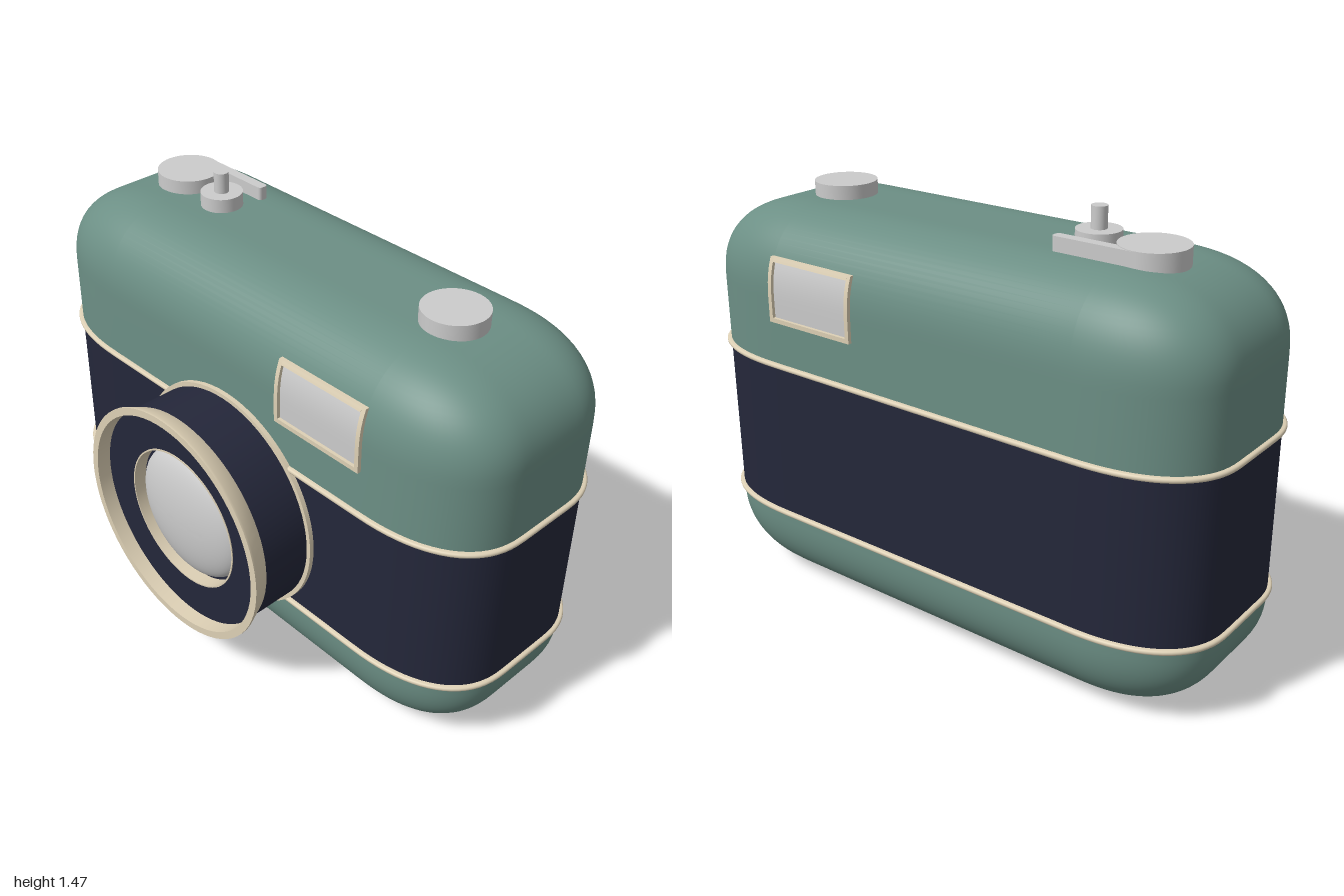
import * as THREE from 'three';
import { toCreasedNormals } from 'three/addons/utils/BufferGeometryUtils.js';

const paint = (color) => new THREE.MeshStandardMaterial({ color });
const GREEN = paint(0x6c8f85), NAVY = paint(0x24273a), CREAM = paint(0xddd0b5), GREY = paint(0xcccccc);

// Body: a box core with superelliptic edges
const N = 2.4;
const CORE = { x: 0.585, y: 0.3985, z: 0.1 };
const R = { x: 0.4, y: 0.28, z: 0.27 };
const CY = 0.6785, CZ = -0.12;
const BAND_LOW = 0.29, BAND_HIGH = 0.845;
const pow = (v) => Math.pow(Math.max(0, v), 2 / N);

// How far the sides reach out at height y (1 = full, 0 = none)
function reach(y) {
  const v = Math.max(0, (Math.abs(y - CY) - CORE.y) / R.y);
  return Math.pow(Math.max(0, 1 - Math.pow(v, N)), 1 / N);
}

// Plan outline of the body, scaled at the corners by k and widened by off
function outline(k, off) {
  const pts = [], steps = 20;
  for (let q = 0; q < 4; q++) {
    const sx = q === 0 || q === 3 ? 1 : -1, sz = q < 2 ? 1 : -1;
    for (let i = 0; i <= steps; i++) {
      const t = (q % 2 ? steps - i : i) / steps * Math.PI / 2;
      pts.push([
        sx * (CORE.x + (R.x * k + off) * pow(Math.cos(t))),
        CZ + sz * (CORE.z + (R.z * k + off) * pow(Math.sin(t))),
      ]);
    }
  }
  return pts;
}

// Skin over outlines stacked upward; cap is 'top', 'bottom' or nothing
function loft(rings, cap) {
  const pos = [], idx = [];
  let n = 0;
  for (const { y, k = 1, off = 0 } of rings) {
    const pts = outline(k, off);
    n = pts.length;
    pts.forEach(([x, z]) => pos.push(x, y, z));
  }
  for (let j = 0; j < rings.length - 1; j++) {
    for (let i = 0; i < n; i++) {
      const a = j * n + i, b = j * n + (i + 1) % n;
      idx.push(a, a + n, b, b, a + n, b + n);
    }
  }
  if (cap) {
    const last = cap === 'top' ? rings.length - 1 : 0;
    const c = pos.length / 3;
    pos.push(0, rings[last].y, CZ);
    for (let i = 0; i < n; i++) {
      const a = last * n + i, b = last * n + (i + 1) % n;
      idx.push(c, ...(cap === 'top' ? [b, a] : [a, b]));
    }
  }
  const g = new THREE.BufferGeometry();
  g.setAttribute('position', new THREE.Float32BufferAttribute(pos, 3));
  g.setIndex(idx);
  g.computeVertexNormals();
  return g;
}

// Rounded end rings, from the straight wall to the flat top (side 1) or bottom (side -1)
function endRings(side) {
  const rings = [];
  for (let i = 0; i <= 20; i++) {
    const t = Math.min(i / 20, 0.9995) * Math.PI / 2;
    rings.push({ y: CY + side * (CORE.y + R.y * pow(Math.sin(t))), k: pow(Math.cos(t)) });
  }
  return rings;
}

export function createModel() {
  const model = new THREE.Group();
  const add = (name, geometry, material, parent = model) => {
    const mesh = new THREE.Mesh(geometry, material);
    mesh.name = name;
    parent.add(mesh);
    return mesh;
  };

  // Body shells and the dark wrap between them
  add('upperBody', loft([{ y: BAND_HIGH }, ...endRings(1)], 'top'), GREEN);
  const low = endRings(-1).reverse().filter((r) => r.y < BAND_LOW - 0.001);
  add('lowerBody', loft([...low, { y: BAND_LOW, k: reach(BAND_LOW) }], 'bottom'), GREEN);
  add('wrap', loft([{ y: BAND_LOW }, { y: BAND_HIGH }]), NAVY);

  // Trim bands running round the body
  for (const [name, y] of [['lowerTrim', BAND_LOW], ['upperTrim', BAND_HIGH]]) {
    const rings = [];
    for (let i = 0; i <= 8; i++) {
      const t = (i / 8 - 0.5) * Math.PI;
      rings.push({ y: y + 0.009 * Math.sin(t), off: -0.002 + 0.016 * Math.sqrt(Math.cos(t) + 1e-9) });
    }
    add(name, loft(rings), CREAM);
  }

  // Lens, turned about the z axis
  const lens = new THREE.Group();
  lens.name = 'lens';
  lens.position.y = 0.575;
  lens.rotation.x = Math.PI / 2;
  model.add(lens);
  const turned = (name, points, material) => add(name, toCreasedNormals(
    new THREE.LatheGeometry(points.map(([r, z]) => new THREE.Vector2(r, z)), 72), 0.5), material, lens);
  turned('lensMount', [[0.405, 0.2], [0.405, 0.266], [0.38, 0.266]], CREAM);
  turned('lensBarrel', [[0.39, 0.22], [0.39, 0.455], [0.25, 0.455], [0.25, 0.4]], NAVY);
  turned('lensRim', [[0.388, 0.435], [0.392, 0.442], [0.417, 0.497], [0.417, 0.505],
    [0.391, 0.505], [0.389, 0.45]], CREAM);
  turned('lensBezel', [[0.252, 0.45], [0.252, 0.458], [0.247, 0.458], [0.247, 0.4]], CREAM);
  turned('lensSeat', [[0.25, 0.41], [0, 0.41]], NAVY);
  const dome = [];
  for (let i = 0; i <= 16; i++) {
    const t = i / 16 * Math.PI / 2;
    dome.push([0.238 * Math.cos(t), 0.405 + 0.075 * Math.sin(t)]);
  }
  turned('lensGlass', dome, GREY);

  // Viewfinder windows, bent to follow the body front and back
  const bent = (x, y, w, h, bottom, top, side) => {
    const g = new THREE.BoxGeometry(w, h, 1, 1, 8, 1).translate(x, y, 0);
    const p = g.attributes.position;
    for (let i = 0; i < p.count; i++) {
      const out = CORE.z + R.z * reach(p.getY(i)) + (p.getZ(i) * side > 0 ? top : bottom);
      p.setZ(i, CZ + side * out);
    }
    return toCreasedNormals(g, 0.5);
  };
  for (const [name, side] of [['frontWindow', 1], ['backWindow', -1]]) {
    const win = new THREE.Group();
    win.name = name;
    model.add(win);
    const x = 0.413, y = 1.111, w = 0.354, h = 0.216, b = 0.015;
    add('pane', bent(x, y, w - b, h - b, -0.02, 0.002, side), GREY, win);
    for (const s of [-1, 1]) {
      add('frameSide', bent(x + s * (w - b) / 2, y, b, h, -0.02, 0.013, side), CREAM, win);
      add('frameEdge', bent(x, y + s * (h - b) / 2, w - 2 * b, b, -0.02, 0.013, side), CREAM, win);
    }
  }

  // Controls on the top
  const knob = (name, x, z, r, y0, y1) => add(name,
    new THREE.CylinderGeometry(r, r, y1 - y0, 48).translate(x, (y0 + y1) / 2, z), GREY);
  knob('windDial', -0.64, -0.152, 0.108, 1.33, 1.404);
  knob('rewindDial', 0.59, -0.118, 0.105, 1.33, 1.404);
  knob('shutterCollar', -0.43, -0.118, 0.071, 1.34, 1.404);
  knob('shutterButton', -0.43, -0.118, 0.025, 1.39, 1.474);
  // Wind lever, leaving the dial along its back edge
  const lever = new THREE.Shape();
  lever.moveTo(-0.64, 0.225);
  lever.lineTo(-0.37, 0.225);
  lever.quadraticCurveTo(-0.358, 0.225, -0.358, 0.242);
  lever.quadraticCurveTo(-0.358, 0.26, -0.37, 0.26);
  lever.lineTo(-0.64, 0.26);
  add('windLever', new THREE.ExtrudeGeometry(lever, { depth: 0.05, bevelEnabled: false })
    .rotateX(-Math.PI / 2).translate(0, 1.352, 0), GREY);

  return model;
}
